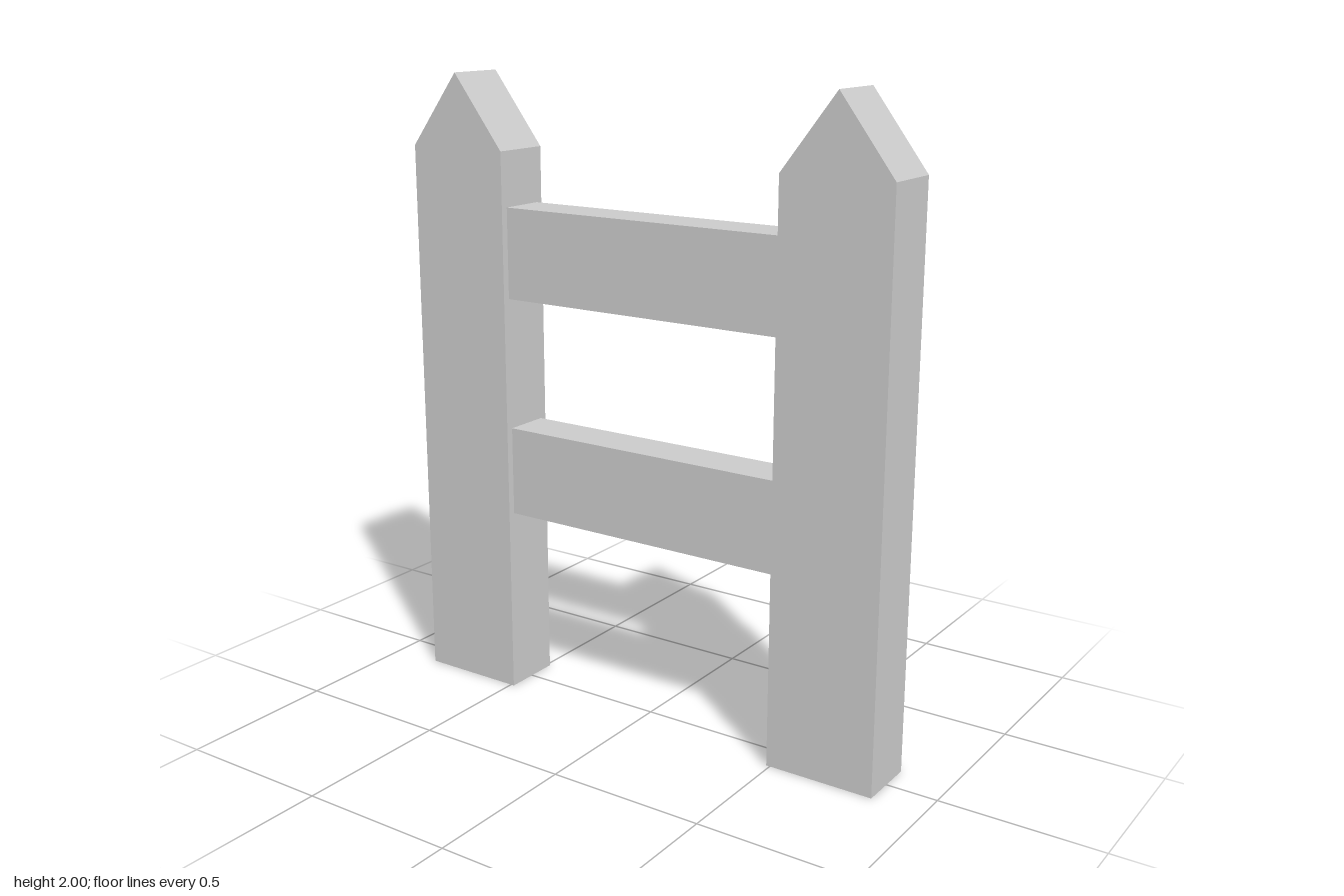
import * as THREE from 'three';

export function createModel() {
  const model = new THREE.Group();
  model.name = 'fenceSection';
  const material = new THREE.MeshStandardMaterial({ color: 0xcccccc, flatShading: true });

  // Pointed post outline, extruded through its thickness
  const halfWidth = 0.175, shoulder = 1.77, height = 2, depth = 0.195;
  const outline = new THREE.Shape([
    new THREE.Vector2(-halfWidth, 0),
    new THREE.Vector2(halfWidth, 0),
    new THREE.Vector2(halfWidth, shoulder),
    new THREE.Vector2(0, height),
    new THREE.Vector2(-halfWidth, shoulder),
  ]);
  const postGeometry = new THREE.ExtrudeGeometry(outline, { depth, bevelEnabled: false });
  postGeometry.translate(0, 0, -depth / 2);

  for (const [name, side] of [['leftPost', 1], ['rightPost', -1]]) {
    const post = new THREE.Mesh(postGeometry, material);
    post.name = name;
    post.position.x = side * 0.663;
    model.add(post);
  }

  // Horizontal rails spanning the gap between the posts
  const railGeometry = new THREE.BoxGeometry(0.978, 0.287, 0.148);
  for (const [name, y] of [['lowerRail', 0.745], ['upperRail', 1.453]]) {
    const rail = new THREE.Mesh(railGeometry, material);
    rail.name = name;
    rail.position.y = y;
    model.add(rail);
  }

  return model;
}
